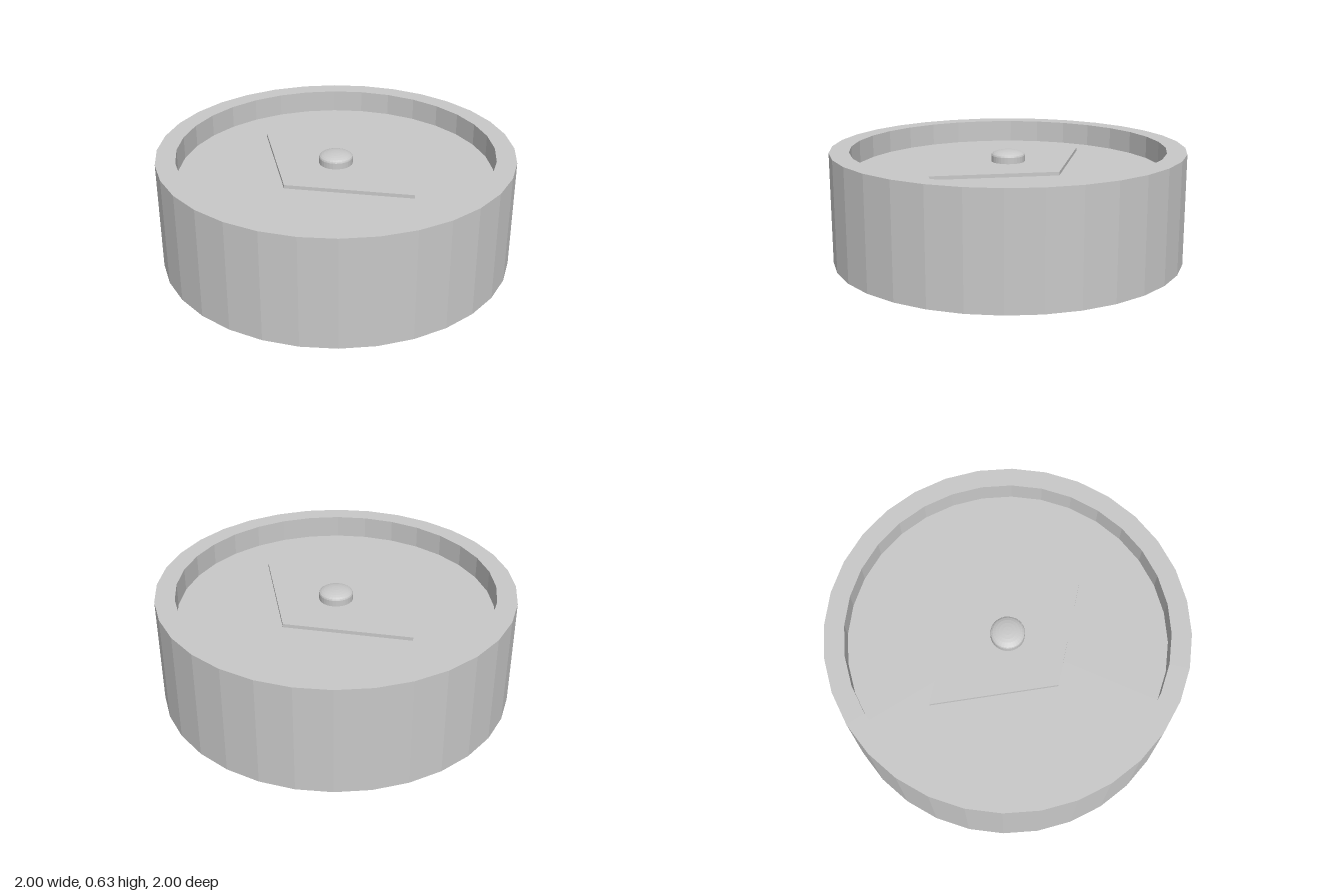
import * as THREE from 'three';

const SIDES = 32;

export function createModel() {
  const grey = new THREE.MeshStandardMaterial({ color: 0xc8c8c8, flatShading: true });
  grey.name = 'light grey';

  const model = new THREE.Group();
  model.name = 'roundTray';
  const add = (name, geometry) => {
    const mesh = new THREE.Mesh(geometry, grey);
    mesh.name = name;
    model.add(mesh);
    return mesh;
  };
  const lathe = (pairs) =>
    new THREE.LatheGeometry(pairs.map(([r, y]) => new THREE.Vector2(r, y)), SIDES);

  // Round body with a raised rim and a sunken floor
  add('body', lathe([[0, 0], [1, 0], [1, 0.63], [0.89, 0.63], [0.89, 0.5], [0, 0.5]]));

  // Thin diamond plate held just above the floor
  const diamond = new THREE.Shape([
    new THREE.Vector2(0.58, 0),
    new THREE.Vector2(0, 0.4),
    new THREE.Vector2(-0.58, 0),
    new THREE.Vector2(0, -0.4),
  ]);
  const plate = new THREE.ExtrudeGeometry(diamond, { depth: 0.02, bevelEnabled: false });
  plate.rotateX(-Math.PI / 2);
  add('diamondPlate', plate).position.y = 0.53;

  // Short knob with a low domed top
  const radius = 0.095, shoulder = 0.585, dome = 0.03;
  const profile = [[0, 0.545], [radius, 0.545]];
  for (let i = 0; i <= 6; i++) {
    const a = (i / 6) * Math.PI / 2;
    profile.push([i === 6 ? 0 : radius * Math.cos(a), shoulder + dome * Math.sin(a)]);
  }
  add('knob', lathe(profile));

  return model;
}
